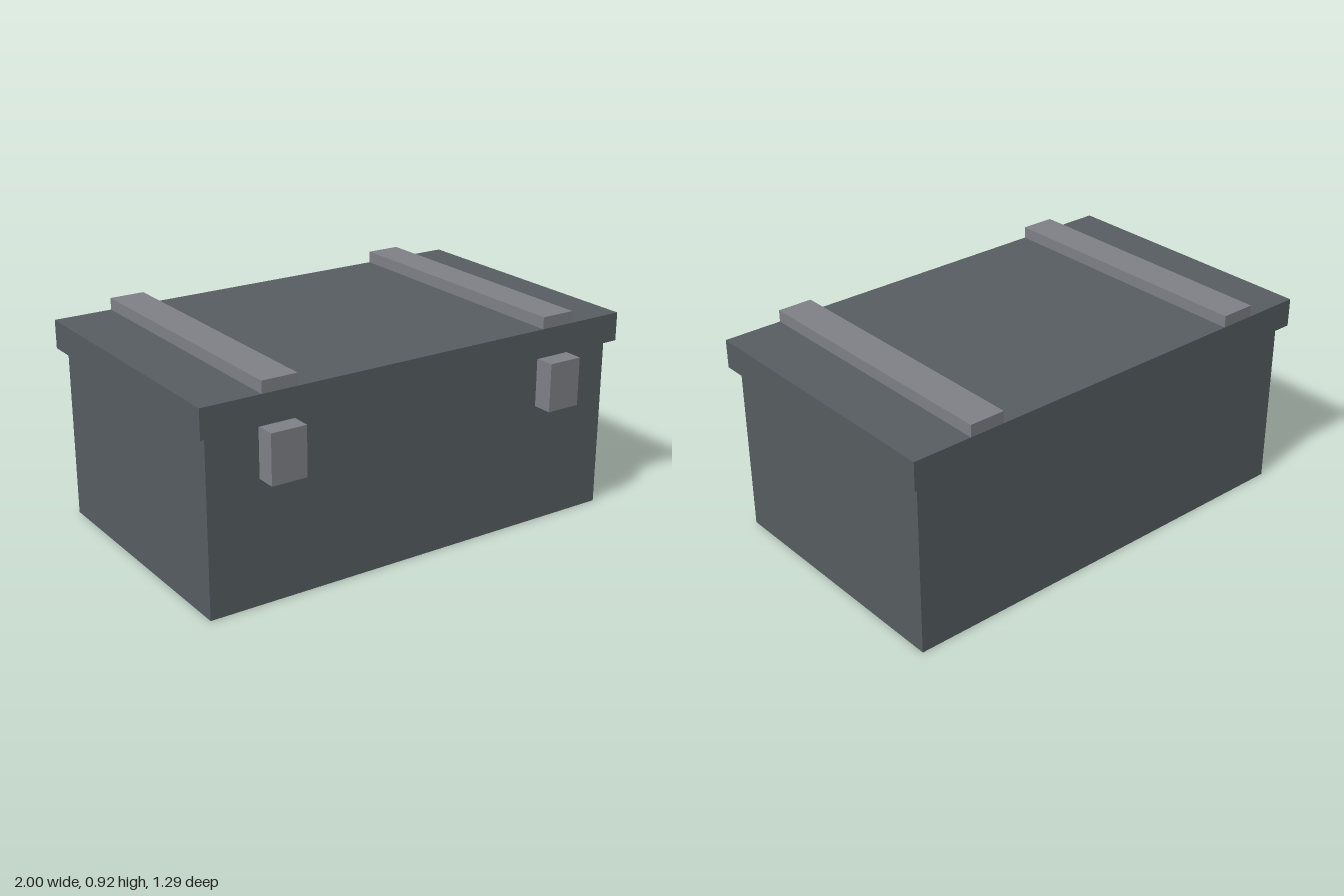
import * as THREE from 'three';

const crateGrey = new THREE.MeshStandardMaterial({ color: 0x565d60 });
crateGrey.name = 'crateGrey';
const fittingGrey = new THREE.MeshStandardMaterial({ color: 0x7e8086 });
fittingGrey.name = 'fittingGrey';

// Box given by its lower and upper bounds on each axis
function block(name, material, [x0, x1], [y0, y1], [z0, z1]) {
  const mesh = new THREE.Mesh(new THREE.BoxGeometry(x1 - x0, y1 - y0, z1 - z0), material);
  mesh.position.set((x0 + x1) / 2, (y0 + y1) / 2, (z0 + z1) / 2);
  mesh.name = name;
  return mesh;
}

export function createModel() {
  const crate = new THREE.Group();
  crate.name = 'crate';

  // Body and overhanging lid
  crate.add(block('body', crateGrey, [-0.965, 0.965], [0, 0.748], [-0.608, 0.55]));
  crate.add(block('lid', crateGrey, [-1, 1], [0.748, 0.871], [-0.643, 0.585]));

  // One lid strap and one front latch on each side
  for (const [side, x] of [['left', 0.667], ['right', -0.667]]) {
    const span = [x - 0.077, x + 0.077];
    crate.add(block(side + 'Strap', fittingGrey, span, [0.871, 0.922], [-0.643, 0.585]));
    crate.add(block(side + 'Latch', fittingGrey, span, [0.529, 0.738], [0.558, 0.645]));
  }
  return crate;
}
